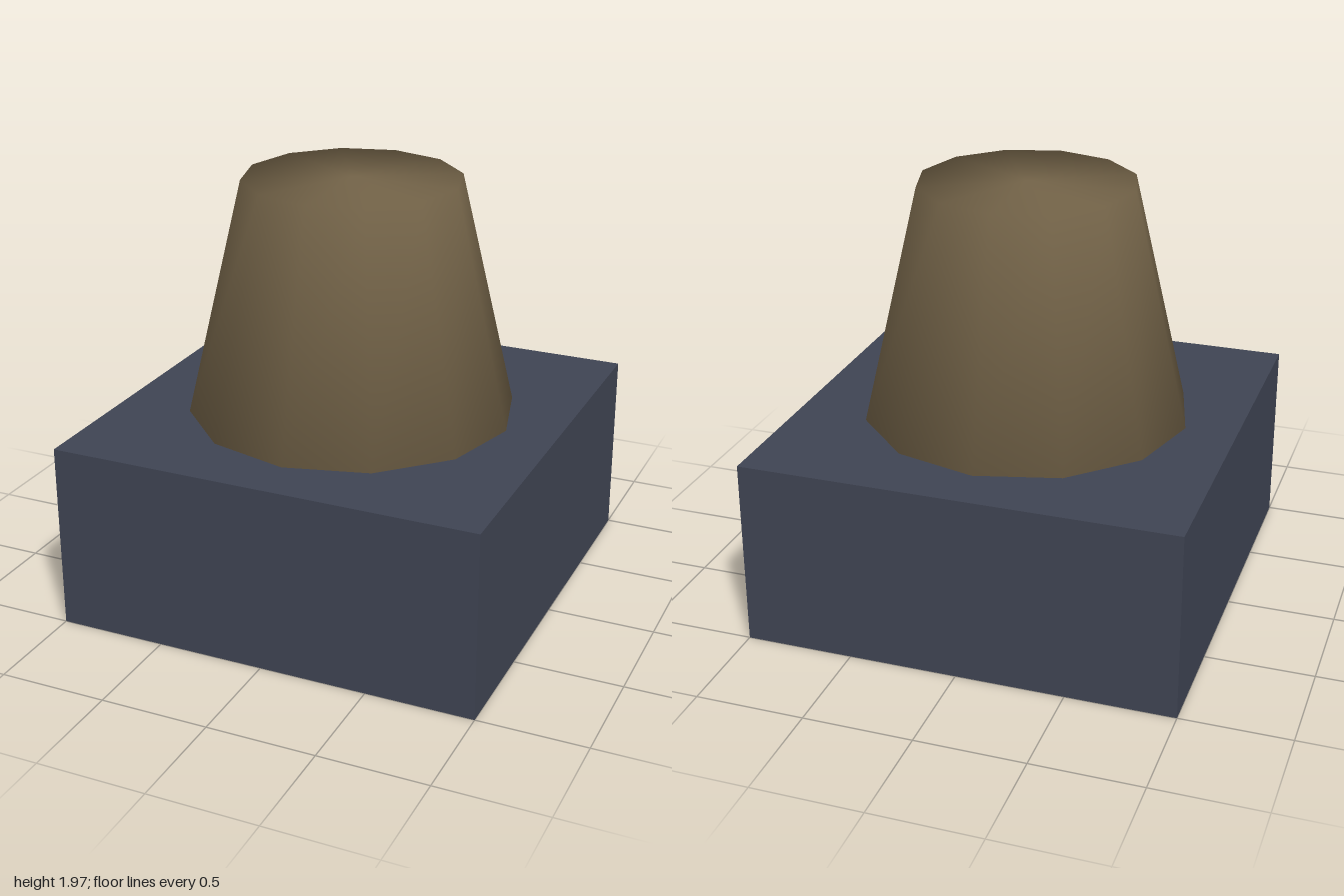
import * as THREE from 'three';
import { mergeVertices } from 'three/addons/utils/BufferGeometryUtils.js';

const BASE_HEIGHT = 0.87;
const TOTAL_HEIGHT = 1.97;

// Twelve-sided tapered drum whose caps share smooth normals with its wall
function smoothFrustum(topRadius, bottomRadius, height) {
  const geometry = new THREE.CylinderGeometry(topRadius, bottomRadius, height, 12, 1);
  geometry.deleteAttribute('uv');
  geometry.deleteAttribute('normal');
  const welded = mergeVertices(geometry, 1e-4);
  welded.computeVertexNormals();
  return welded;
}

export function createModel() {
  const slate = new THREE.MeshStandardMaterial({ color: 0x3f4453 });
  slate.name = 'slate';
  const bronze = new THREE.MeshStandardMaterial({ color: 0x736348 });
  bronze.name = 'bronze';

  const model = new THREE.Group();
  model.name = 'pedestal';

  // Square block
  const base = new THREE.Mesh(new THREE.BoxGeometry(2, BASE_HEIGHT, 2), slate);
  base.name = 'base';
  base.position.y = BASE_HEIGHT / 2;
  model.add(base);

  // Tapered drum standing on the block
  const drumHeight = TOTAL_HEIGHT - BASE_HEIGHT;
  const drum = new THREE.Mesh(smoothFrustum(0.5, 0.76, drumHeight), bronze);
  drum.name = 'taperedDrum';
  drum.position.y = BASE_HEIGHT + drumHeight / 2;
  model.add(drum);

  return model;
}
